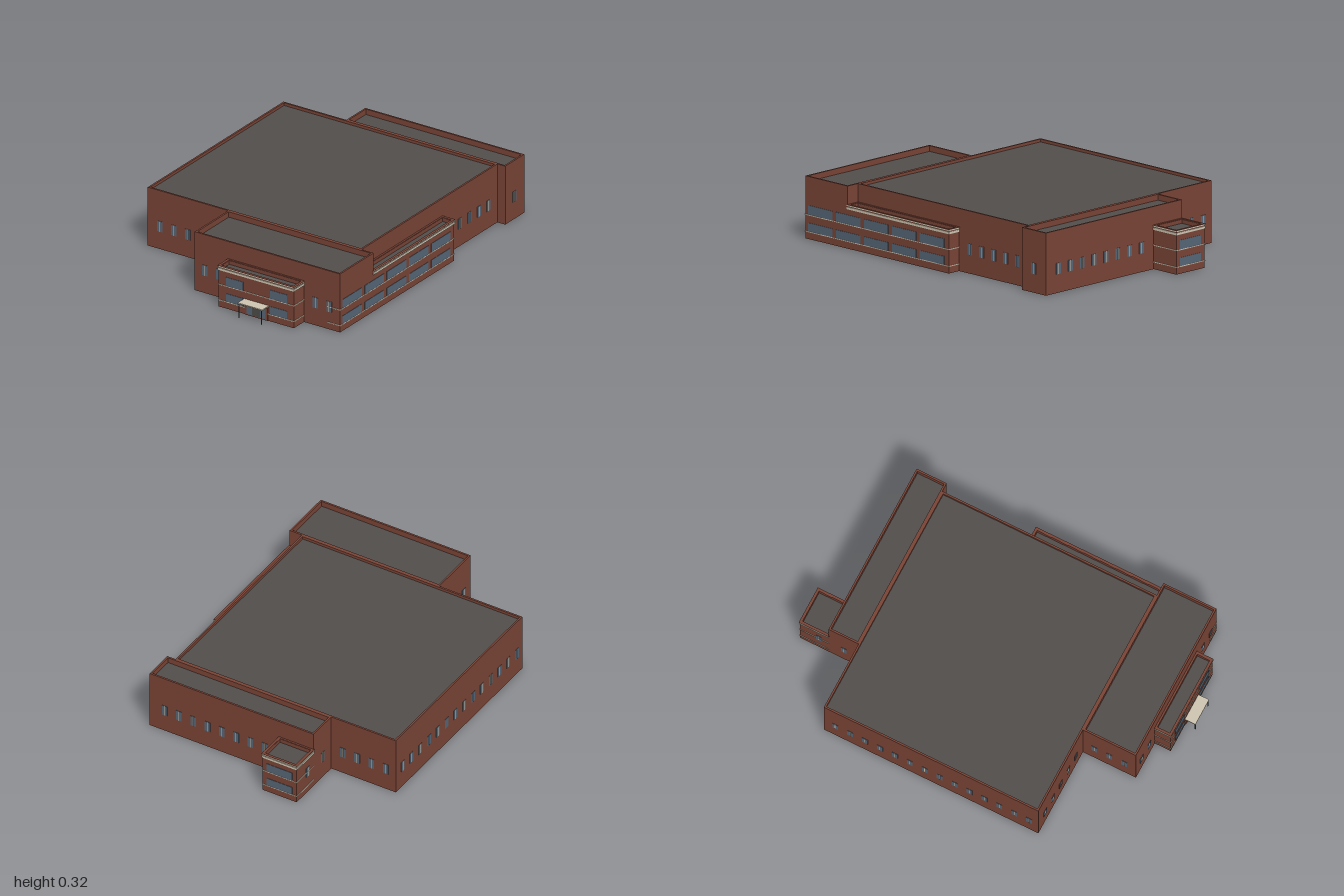
import * as THREE from 'three';

const mat = (name, color) => {
  const m = new THREE.MeshStandardMaterial({ color });
  m.name = name;
  return m;
};

export function createModel() {
  const model = new THREE.Group();
  model.name = 'building';
  const brick = mat('brick', 0x7a4436);
  const roofing = mat('roofing', 0x524e4c);
  const glass = mat('glass', 0x566676);
  const trim = mat('trim', 0xcfc6b2);
  const metal = mat('door metal', 0x4c4c4a);

  const add = (parent, name, geometry, material) => {
    const mesh = new THREE.Mesh(geometry, material);
    mesh.name = name;
    parent.add(mesh);
    return mesh;
  };

  // Box given by its limits on each axis
  const box = (parent, name, material, x0, x1, y0, y1, z0, z1) => {
    const g = new THREE.BoxGeometry(x1 - x0, y1 - y0, z1 - z0);
    g.translate((x0 + x1) / 2, (y0 + y1) / 2, (z0 + z1) / 2);
    return add(parent, name, g, material);
  };

  // Rectangular ring on plan, rising from y0 to y1; "out" grows it, "t" is its thickness
  const ring = (parent, name, material, [x0, x1, z0, z1], y0, y1, out, t) => {
    const path = (P, d) => {
      const p = new P();
      p.moveTo(x0 - d, -z1 - d);
      p.lineTo(x1 + d, -z1 - d);
      p.lineTo(x1 + d, -z0 + d);
      p.lineTo(x0 - d, -z0 + d);
      p.closePath();
      return p;
    };
    const shape = path(THREE.Shape, out);
    shape.holes.push(path(THREE.Path, out - t));
    const g = new THREE.ExtrudeGeometry(shape, { depth: y1 - y0, bevelEnabled: false });
    g.rotateX(-Math.PI / 2);
    g.translate(0, y0, 0);
    return add(parent, name, g, material);
  };

  // Hollow block: walls with a parapet around a sunken roof, open underneath
  const block = (name, plan, height, roofY) => {
    const group = new THREE.Group();
    group.name = name;
    ring(group, 'walls', brick, plan, 0, height, 0, 0.01);
    const [x0, x1, z0, z1] = plan;
    box(group, 'roof', roofing, x0 + 0.009, x1 - 0.009, roofY - 0.006, roofY, z0 + 0.009, z1 - 0.009);
    model.add(group);
    return group;
  };

  const entrancePlan = [0.007, 0.465, 0.85, 0.94];
  const sidePlan = [0.612, 0.685, -0.17, 0.55];
  const towerPlan = [-0.308, -0.107, -0.997, -0.835];
  block('mainHall', [-0.69, 0.612, -0.665, 0.55], 0.325, 0.31);
  block('frontWing', [-0.2, 0.685, 0.55, 0.85], 0.325, 0.295);
  block('rearWing', [-0.308, 0.66, -0.835, -0.665], 0.325, 0.295);
  const entrance = block('entranceBlock', entrancePlan, 0.226, 0.205);
  const side = block('sideGallery', sidePlan, 0.226, 0.205);
  const tower = block('rearTower', towerPlan, 0.226, 0.205);

  // Thin string courses and double cornices
  const courses = (group, plan) => {
    for (const y of [0.038, 0.125]) ring(group, 'stringCourse', trim, plan, y - 0.002, y + 0.002, 0.003, 0.006);
  };
  const cornice = (group, plan) => {
    ring(group, 'cornice', trim, plan, 0.205, 0.217, 0.004, 0.01);
    ring(group, 'coping', trim, plan, 0.222, 0.228, 0.004, 0.006);
    ring(group, 'copingTop', brick, plan, 0.2275, 0.2295, 0.0045, 0.0145);
  };
  courses(entrance, entrancePlan);
  courses(tower, towerPlan);
  courses(side, [0.612, 0.685, -0.17, 0.85]);
  cornice(entrance, entrancePlan);
  cornice(side, sidePlan);
  cornice(tower, towerPlan);

  // Thin plate on a wall: axis 'z' lies on a z = at wall, axis 'x' on an x = at wall
  const plate = (parent, name, material, axis, at, c, w, y0, y1, proud = 0.002) => {
    const a = [c - w / 2, c + w / 2], b = [at - proud, at + proud];
    const [xs, zs] = axis === 'z' ? [a, b] : [b, a];
    return box(parent, name, material, ...xs, y0, y1, ...zs);
  };

  // Small windows with a pale central bar
  const windows = new THREE.Group();
  windows.name = 'smallWindows';
  model.add(windows);
  const smallWindows = (axis, at, centres) => {
    for (const c of centres) {
      plate(windows, 'window', glass, axis, at, c, 0.032, 0.097, 0.155);
      plate(windows, 'windowBar', trim, axis, at, c, 0.003, 0.097, 0.155, 0.003);
    }
  };
  const row = (start, count, step = 0.0845) => Array.from({ length: count }, (_, i) => start + i * step);
  smallWindows('z', 0.55, row(-0.615, 5));
  smallWindows('z', 0.85, [-0.137, -0.053, 0.535, 0.619]);
  smallWindows('x', 0.612, row(-0.584, 5));
  smallWindows('x', 0.66, [-0.748]);
  smallWindows('z', -0.835, row(-0.02, 8));
  smallWindows('z', -0.665, row(-0.63, 4));
  smallWindows('x', -0.308, [-0.748, -0.89]);
  smallWindows('x', -0.69, row(-0.6, 14));
  smallWindows('x', -0.2, row(0.615, 3));

  // Wide windows on two floors
  for (const [y0, y1] of [[0.039, 0.084], [0.127, 0.175]]) {
    for (const x of [0.106, 0.372]) plate(entrance, 'wideWindow', glass, 'z', 0.94, x, 0.104, y0, y1);
    for (const z of row(-0.051, 5, 0.1985)) plate(side, 'wideWindow', glass, 'x', 0.685, z, 0.173, y0, y1);
    plate(tower, 'wideWindow', glass, 'z', -0.997, -0.2075, 0.15, y0, y1);
  }

  // Glazed doorway under a canopy on two posts
  plate(entrance, 'doorSurround', brick, 'z', 0.94, 0.238, 0.138, 0, 0.078, 0.004);
  plate(entrance, 'doorGlazing', glass, 'z', 0.94, 0.238, 0.114, 0.006, 0.07, 0.0045);
  plate(entrance, 'door', metal, 'z', 0.94, 0.238, 0.05, 0.006, 0.066, 0.0049);
  box(entrance, 'canopy', trim, 0.163, 0.313, 0.079, 0.085, 0.94, 1.0);
  for (const x of [0.169, 0.307]) box(entrance, 'canopyPost', metal, x - 0.002, x + 0.002, 0, 0.079, 0.994, 0.998);

  return model;
}
